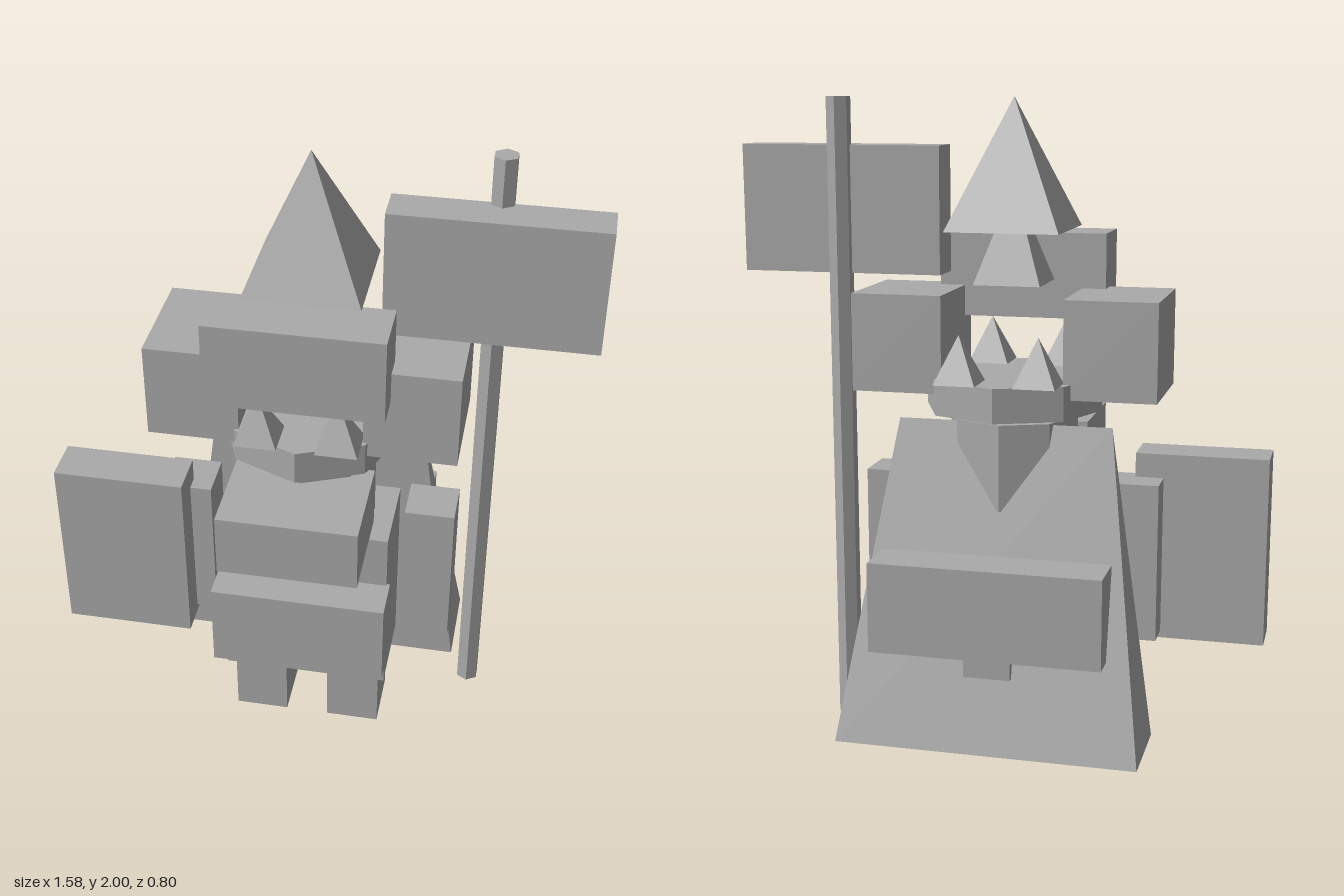
import * as THREE from 'three';

export function createModel() {
  const model = new THREE.Group();
  model.name = 'blockyBannerFigure';
  const grey = new THREE.MeshStandardMaterial({ color: 0xaaaaaa, flatShading: true });
  grey.name = 'plain grey';
  const CX = -0.03; // the body's middle line, offset by the banner pole

  function add(name, geometry, x = 0, y = 0, z = 0) {
    const mesh = new THREE.Mesh(geometry, grey);
    mesh.name = name;
    mesh.position.set(x, y, z);
    model.add(mesh);
    return mesh;
  }
  // Box given by its limits on each axis
  function box(name, x0, x1, y0, y1, z0, z1) {
    return add(name, new THREE.BoxGeometry(x1 - x0, y1 - y0, z1 - z0),
      (x0 + x1) / 2, (y0 + y1) / 2, (z0 + z1) / 2);
  }
  // Square pyramid with sides along the axes
  function pyramid(name, half, x, y0, y1, z) {
    const g = new THREE.ConeGeometry(half * Math.SQRT2, y1 - y0, 4).rotateY(Math.PI / 4);
    return add(name, g, x, (y0 + y1) / 2, z);
  }
  function prism(name, radius, sides, x, y0, y1, z) {
    return add(name, new THREE.CylinderGeometry(radius, radius, y1 - y0, sides), x, (y0 + y1) / 2, z);
  }

  // Feet, arms and side blocks, mirrored about the middle line
  for (const [side, s] of [['left', 1], ['right', -1]]) {
    const pair = (name, a, b, ...rest) =>
      box(side + name, CX + Math.min(s * a, s * b), CX + Math.max(s * a, s * b), ...rest);
    pair('Foot', 0.068, 0.236, 0, 0.226, -0.08, 0.107);
    pair('Arm', 0.3, 0.45, 0.4, 0.88, -0.06, 0.085);
    pair('HeadBlock', 0.182, 0.455, 1.145, 1.435, -0.165, 0.175);
  }

  // Body
  box('torso', -0.285, 0.23, 0.226, 0.81, -0.12, 0.148);
  box('waistBlock', -0.295, 0.24, 0.358, 0.635, 0.14, 0.274);
  box('chestBlock', -0.237, 0.177, 0.837, 1.03, 0.09, 0.4);

  // Head, brim and ring of spikes
  prism('head', 0.196, 8, CX, 0.81, 1.068, -0.005);
  prism('brim', 0.27, 8, CX, 1.088, 1.19, -0.006);
  for (let i = 0; i < 6; i++) {
    const a = Math.PI / 6 + i * Math.PI / 3;
    pyramid('brimSpike', 0.062, CX + 0.235 * Math.sin(a), 1.19, 1.33, -0.003 + 0.23 * Math.cos(a));
  }

  // Top pieces
  box('browBlock', -0.285, 0.228, 1.342, 1.6, 0.107, 0.283);
  pyramid('lowerPeak', 0.1, CX, 1.462, 1.75, -0.008);
  pyramid('upperPeak', 0.169, CX, 1.62, 2, -0.008);

  // Cape: a box whose back slopes in to the front edge and whose sides taper
  const capeHeight = 0.935;
  const cape = new THREE.BoxGeometry(0.905, capeHeight, 0.272);
  const p = cape.attributes.position;
  for (let i = 0; i < p.count; i++) {
    if (p.getY(i) > 0) {
      p.setX(i, p.getX(i) * 0.71);
      p.setZ(i, 0.136);
    }
  }
  cape.computeVertexNormals();
  add('cape', cape, CX, 0.127 + capeHeight / 2, -0.261);
  box('backPack', -0.375, 0.315, 0.415, 0.685, -0.392, -0.24);
  box('packBuckle', -0.1, 0.04, 0.347, 0.5, -0.35, -0.22);

  // Shield at the right hand, banner at the left
  box('shield', -0.793, -0.395, 0.377, 0.953, 0.04, 0.18);
  prism('bannerPole', 0.0365, 6, 0.484, 0.095, 2, -0.074);
  box('banner', 0.18, 0.79, 1.483, 1.86, -0.07, 0.05);

  return model;
}
